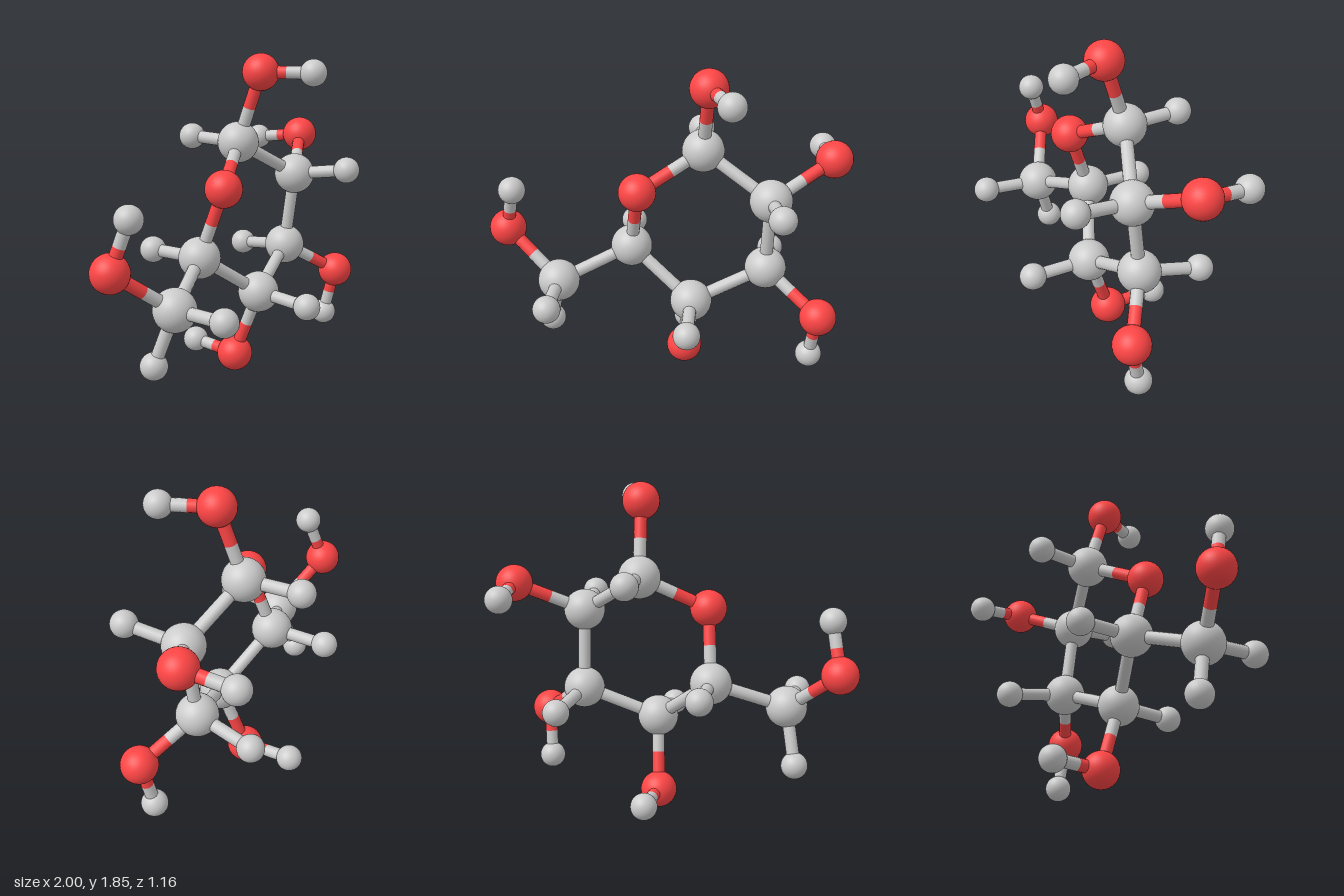
import * as THREE from 'three';

const grey = new THREE.MeshStandardMaterial({ color: 0xcccccc });
const red = new THREE.MeshStandardMaterial({ color: 0xff4545 });

// Ball sizes and materials for each kind of atom
const kinds = {
  carbon: { radius: 0.117, material: grey },
  oxygen: { radius: 0.103, material: red },
  hydrogen: { radius: 0.075, material: grey },
};
const BOND_RADIUS = 0.036;

// Atoms: kind, x, y, z, and the atom each one is bonded to
const atoms = {
  carbon1: ['carbon', 0.19, 1.345, -0.1, 'ringOxygen'],
  carbon2: ['carbon', 0.575, 1.12, 0.0, 'carbon1'],
  carbon3: ['carbon', 0.56, 0.675, -0.055, 'carbon2'],
  carbon4: ['carbon', 0.16, 0.505, 0.09, 'carbon3'],
  carbon5: ['carbon', -0.2, 0.765, -0.025, 'carbon4'],
  ringOxygen: ['oxygen', -0.14, 1.16, 0.1, 'carbon5'],
  carbon6: ['carbon', -0.58, 0.615, 0.175, 'carbon5'],

  oxygen1: ['oxygen', 0.23, 1.745, 0.03, 'carbon1'],
  oxygen2: ['oxygen', 0.895, 1.29, -0.225, 'carbon2'],
  oxygen3: ['oxygen', 0.872, 0.473, 0.1, 'carbon3'],
  oxygen4: ['oxygen', 0.105, 0.106, -0.045, 'carbon4'],
  oxygen6: ['oxygen', -0.897, 0.86, 0.055, 'carbon6'],

  hydroxyl1: ['hydrogen', 0.375, 1.747, 0.283, 'oxygen1'],
  hydroxyl2: ['hydrogen', 0.828, 1.25, -0.505, 'oxygen2'],
  hydroxyl3: ['hydrogen', 0.838, 0.188, 0.045, 'oxygen3'],
  hydroxyl4: ['hydrogen', 0.075, 0.12, -0.338, 'oxygen4'],
  hydroxyl6: ['hydrogen', -0.832, 1.133, 0.13, 'oxygen6'],

  hydrogen1: ['hydrogen', 0.138, 1.35, -0.417, 'carbon1'],
  hydrogen2: ['hydrogen', 0.655, 1.172, 0.32, 'carbon2'],
  hydrogen3: ['hydrogen', 0.565, 0.62, -0.4, 'carbon3'],
  hydrogen4: ['hydrogen', 0.185, 0.488, 0.423, 'carbon4'],
  hydrogen5: ['hydrogen', -0.248, 0.757, -0.35, 'carbon5'],
  hydrogen6a: ['hydrogen', -0.655, 0.305, 0.09, 'carbon6'],
  hydrogen6b: ['hydrogen', -0.56, 0.628, 0.503, 'carbon6'],
};

const position = (name) => new THREE.Vector3(...atoms[name].slice(1, 4));

// Half a bond: a rod from an atom's centre to the middle of the bond
function halfBond(from, to, material) {
  const length = from.distanceTo(to);
  const rod = new THREE.Mesh(
    new THREE.CylinderGeometry(BOND_RADIUS, BOND_RADIUS, length, 14, 1, true), material);
  rod.position.copy(from).add(to).multiplyScalar(0.5);
  rod.quaternion.setFromUnitVectors(
    new THREE.Vector3(0, 1, 0), to.clone().sub(from).normalize());
  return rod;
}

export function createModel() {
  const model = new THREE.Group();
  model.name = 'molecule';

  for (const [name, [kind, , , , partner]] of Object.entries(atoms)) {
    const { radius, material } = kinds[kind];
    const centre = position(name);

    // Ball
    const ball = new THREE.Mesh(new THREE.SphereGeometry(radius, 32, 20), material);
    ball.name = name;
    ball.position.copy(centre);
    model.add(ball);

    // Two-part bond, each half coloured like its own atom
    const end = position(partner);
    const middle = centre.clone().lerp(end, 0.5);
    const bond = new THREE.Group();
    bond.name = `bond ${name} to ${partner}`;
    const near = halfBond(centre, middle, material);
    near.name = 'bondNearHalf';
    const far = halfBond(middle, end, kinds[atoms[partner][0]].material);
    far.name = 'bondFarHalf';
    bond.add(near, far);
    model.add(bond);
  }
  return model;
}
